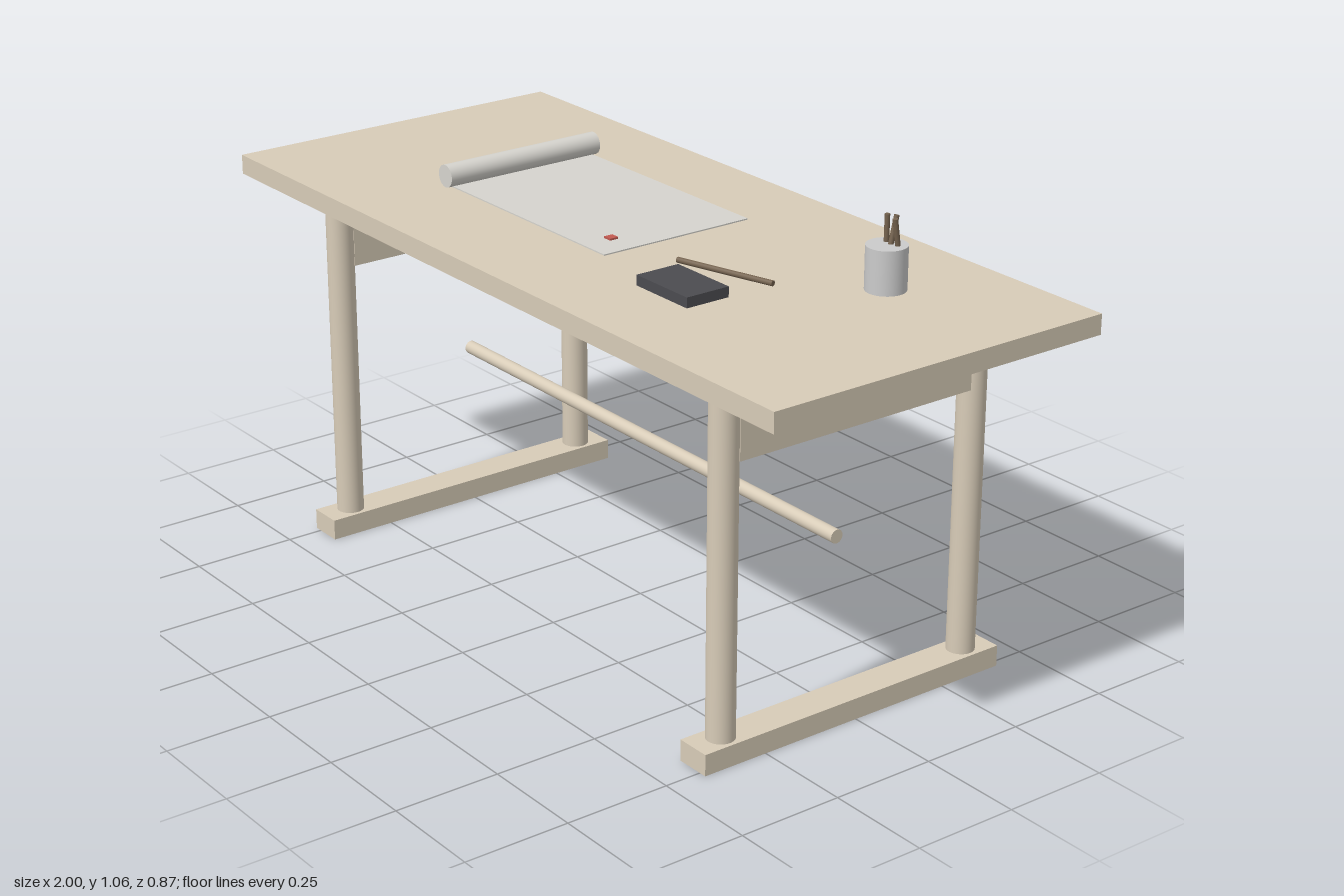
import * as THREE from 'three';

export function createModel() {
  const group = new THREE.Group();
  group.name = 'writingDesk';
  const mat = (color) => new THREE.MeshStandardMaterial({ color });
  const wood = mat(0xd8ccb8), paper = mat(0xd6d4ce), ceramic = mat(0xcccccc);
  const stone = mat(0x4c4c50), bamboo = mat(0x75634f), red = mat(0xc25a50);

  const add = (name, geometry, material, x, y, z) => {
    const mesh = new THREE.Mesh(geometry, material);
    mesh.name = name;
    mesh.position.set(x, y, z);
    group.add(mesh);
    return mesh;
  };
  const box = (name, m, w, h, d, x, y, z) => add(name, new THREE.BoxGeometry(w, h, d), m, x, y, z);

  // Round bar between two points
  const bar = (name, m, r, from, to, sides = 32) => {
    const a = new THREE.Vector3(...from), b = new THREE.Vector3(...to);
    const dir = b.clone().sub(a), mid = a.clone().add(b).multiplyScalar(0.5);
    const mesh = add(name, new THREE.CylinderGeometry(r, r, dir.length(), sides), m, mid.x, mid.y, mid.z);
    mesh.quaternion.setFromUnitVectors(new THREE.Vector3(0, 1, 0), dir.normalize());
    return mesh;
  };

  // Desk top
  box('tableTop', wood, 2, 0.047, 0.874, 0, 0.8785, 0);

  // Trestle at each end: foot, two round legs, apron
  for (const [side, s] of [['left', 1], ['right', -1]]) {
    const x = s * 0.726;
    box(side + 'Foot', wood, 0.084, 0.05, 0.824, x, 0.025, 0);
    box(side + 'Apron', wood, 0.047, 0.177, 0.63, x, 0.768, 0);
    for (const [end, e] of [['Front', 1], ['Back', -1]]) {
      bar(side + end + 'Leg', wood, 0.0325, [x, 0.05, e * 0.339], [x, 0.856, e * 0.339]);
    }
  }

  // Stretcher between the trestles
  bar('stretcher', wood, 0.016, [-0.69, 0.403, 0], [0.69, 0.403, 0]);

  // Scroll: sheet, rolled end and seal mark
  box('scrollSheet', paper, 0.595, 0.003, 0.4, -0.2, 0.9035, -0.028);
  bar('scrollRoll', paper, 0.027, [-0.502, 0.929, -0.239], [-0.502, 0.929, 0.185]);
  box('sealMark', red, 0.022, 0.005, 0.022, 0.022, 0.907, 0.097);

  // Ink stone and resting brush
  box('inkStone', stone, 0.173, 0.024, 0.111, 0.374, 0.914, 0.172);
  bar('restingBrush', bamboo, 0.0065, [0.227, 0.9085, 0.071], [0.466, 0.9085, 0.001], 12);

  // Brush pot with three standing brushes
  add('brushPot', new THREE.CylinderGeometry(0.046, 0.046, 0.1, 32), ceramic, 0.622, 0.952, -0.177);
  const brushes = [
    [0.606, -0.189, -0.19], [0.624, -0.176, -0.2], [0.642, -0.196, -0.18],
  ];
  for (const [x, z0, z1] of brushes) {
    bar('standingBrush', bamboo, 0.006, [x, 0.96, z0], [x, 1.063, z1], 12);
  }
  return group;
}
